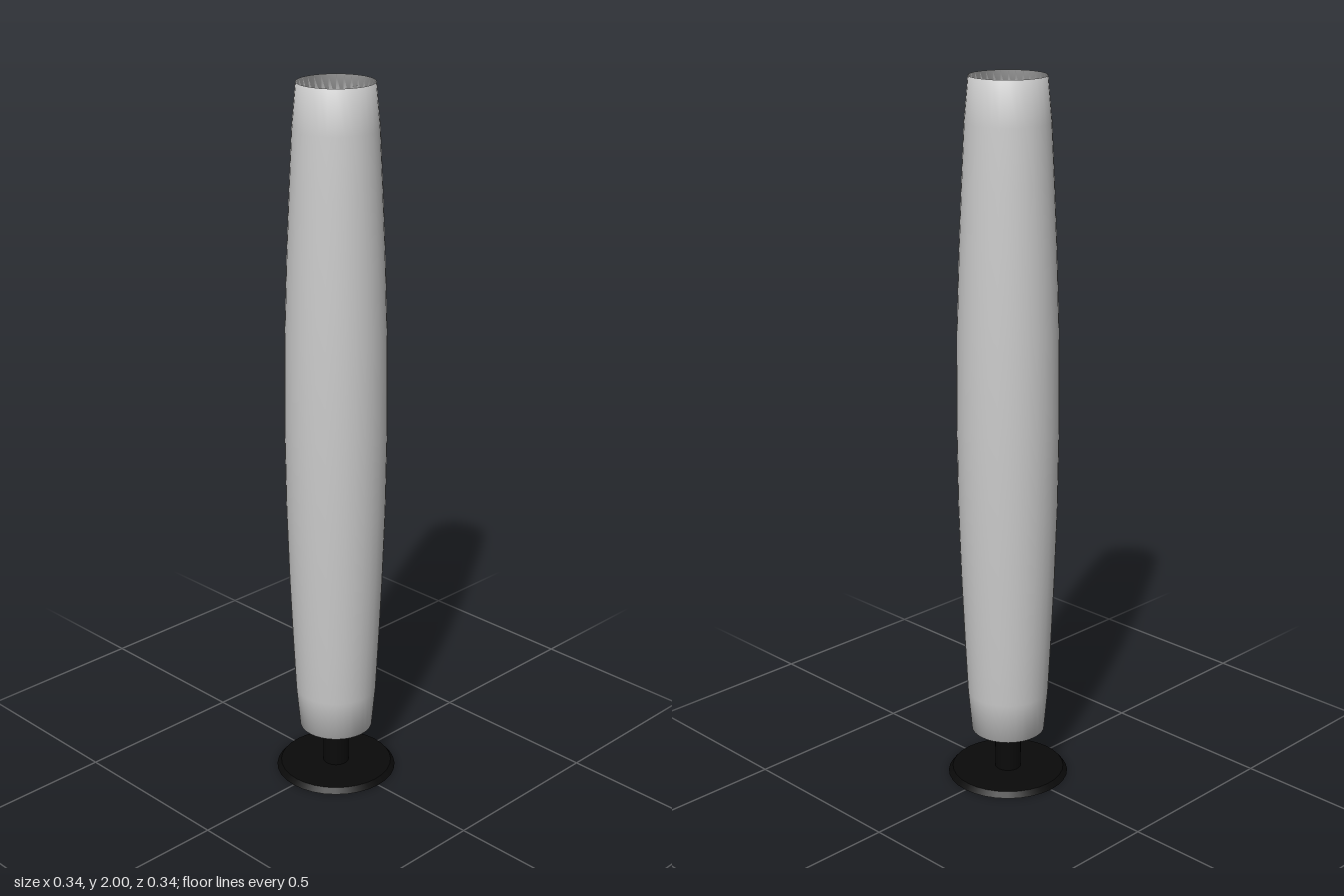
import * as THREE from 'three';

const SEGMENTS = 32;

function lathe(name, profile, material) {
  const points = profile.map(([r, y]) => new THREE.Vector2(r, y));
  const mesh = new THREE.Mesh(new THREE.LatheGeometry(points, SEGMENTS), material);
  mesh.name = name;
  return mesh;
}

export function createModel() {
  const group = new THREE.Group();
  group.name = 'columnLamp';
  const grey = new THREE.MeshStandardMaterial({ color: 0xcccccc });
  const black = new THREE.MeshStandardMaterial({ color: 0x0a0a0a });

  // Shade: half profiles mirrored about mid height, outer wall up, inner wall down
  const mid = 1.07;
  const outerHalf = [[0.104, 0.14], [0.115, 0.26], [0.123, 0.42], [0.131, 0.6], [0.138, 0.82]];
  const innerHalf = [[0.08, 0.33], [0.09, 0.21]];
  const mirror = (pts) => pts.map(([r, y]) => [r, 2 * mid - y]).reverse();
  group.add(lathe('shade', [
    [0.08, mid],
    ...innerHalf,
    ...outerHalf,
    [0.141, mid],
    ...mirror(outerHalf),
    ...mirror(innerHalf),
    [0.08, mid],
  ], grey));

  // Stem rising into the open lower end of the shade
  const stem = new THREE.Mesh(new THREE.CylinderGeometry(0.037, 0.037, 0.2, SEGMENTS), black);
  stem.name = 'stem';
  stem.position.y = 0.11;
  group.add(stem);

  // Thin round foot with a bevelled edge
  const foot = new THREE.Mesh(new THREE.CylinderGeometry(0.16, 0.172, 0.015, SEGMENTS), black);
  foot.name = 'foot';
  foot.position.y = 0.0075;
  group.add(foot);

  return group;
}
